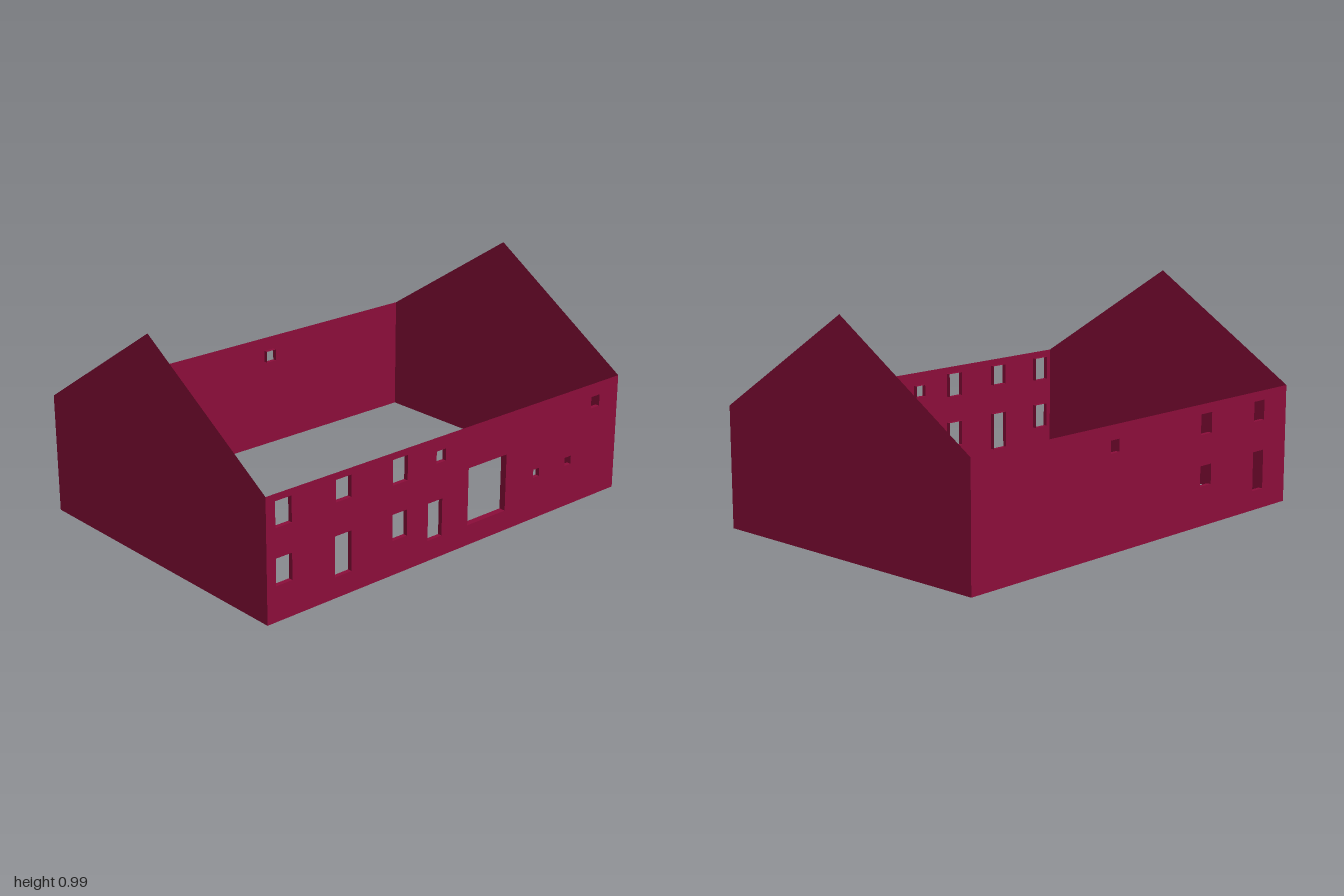
import * as THREE from 'three';

const HALF_X = 1, HALF_Z = 0.714, EAVE = 0.533, RIDGE = 0.99;

// Openings as [x0, x1, y0, y1, reveal depth]
const FRONT = [
  [-0.955, -0.875, 0.393, 0.503], [-0.955, -0.875, 0.152, 0.267],
  [-0.655, -0.575, 0.409, 0.503], [-0.66, -0.573, 0.091, 0.267],
  [-0.355, -0.275, 0.393, 0.503], [-0.355, -0.275, 0.152, 0.267],
  [-0.115, -0.062, 0.42, 0.473], [-0.158, -0.078, 0.091, 0.257],
  [0.072, 0.297, 0.091, 0.348, 0.03],
  [0.468, 0.505, 0.192, 0.23], [0.668, 0.708, 0.192, 0.23],
  [0.826, 0.88, 0.42, 0.473],
];
const BACK = [
  [-0.835, -0.76, 0.4, 0.49], [-0.835, -0.76, 0.088, 0.264],
  [-0.455, -0.38, 0.4, 0.49], [-0.455, -0.38, 0.175, 0.265],
  [0.155, 0.208, 0.416, 0.47],
];

const corners = ([x0, x1, y0, y1]) => [[x0, y0], [x1, y0], [x1, y1], [x0, y1]];
const toPoints = (list) => list.map(([x, y]) => new THREE.Vector2(x, y));

// Four thin faces running inward from the edge of an opening
function revealGeometry(opening) {
  const c = corners(opening), depth = opening[4] ?? 0.02, pos = [];
  c.forEach(([ax, ay], i) => {
    const [bx, by] = c[(i + 1) % 4];
    pos.push(ax, ay, 0, ax, ay, -depth, bx, by, -depth);
    pos.push(ax, ay, 0, bx, by, -depth, bx, by, 0);
  });
  const g = new THREE.BufferGeometry();
  g.setAttribute('position', new THREE.Float32BufferAttribute(pos, 3));
  g.computeVertexNormals();
  return g;
}

// Long wall facing +z, pierced by openings with reveals
function longWall(name, openings, material) {
  const group = new THREE.Group();
  group.name = name;
  const shape = new THREE.Shape(toPoints(corners([-HALF_X, HALF_X, 0, EAVE])));
  for (const o of openings) shape.holes.push(new THREE.Path(toPoints(corners(o))));
  const wall = new THREE.Mesh(new THREE.ShapeGeometry(shape), material);
  wall.name = name + 'Panel';
  group.add(wall);
  openings.forEach((o, i) => {
    const reveal = new THREE.Mesh(revealGeometry(o), material);
    reveal.name = `${name}Reveal${i + 1}`;
    group.add(reveal);
  });
  return group;
}

export function createModel() {
  const model = new THREE.Group();
  model.name = 'houseShell';
  const paint = new THREE.MeshStandardMaterial({ color: 0x8c0d3a, side: THREE.DoubleSide });
  paint.name = 'crimson wall';

  // Front and back walls
  const front = longWall('frontWall', FRONT, paint);
  front.position.z = HALF_Z;
  const turned = BACK.map(([x0, x1, y0, y1]) => [-x1, -x0, y0, y1]);
  const back = longWall('backWall', turned, paint);
  back.rotation.y = Math.PI;
  back.position.z = -HALF_Z;
  model.add(front, back);

  // Gable ends
  const gable = new THREE.Shape(toPoints([
    [-HALF_Z, 0], [HALF_Z, 0], [HALF_Z, EAVE], [0, RIDGE], [-HALF_Z, EAVE],
  ]));
  for (const side of [1, -1]) {
    const end = new THREE.Mesh(new THREE.ShapeGeometry(gable), paint);
    end.name = side > 0 ? 'leftGable' : 'rightGable';
    end.rotation.y = side * Math.PI / 2;
    end.position.x = side * HALF_X;
    model.add(end);
  }
  return model;
}
